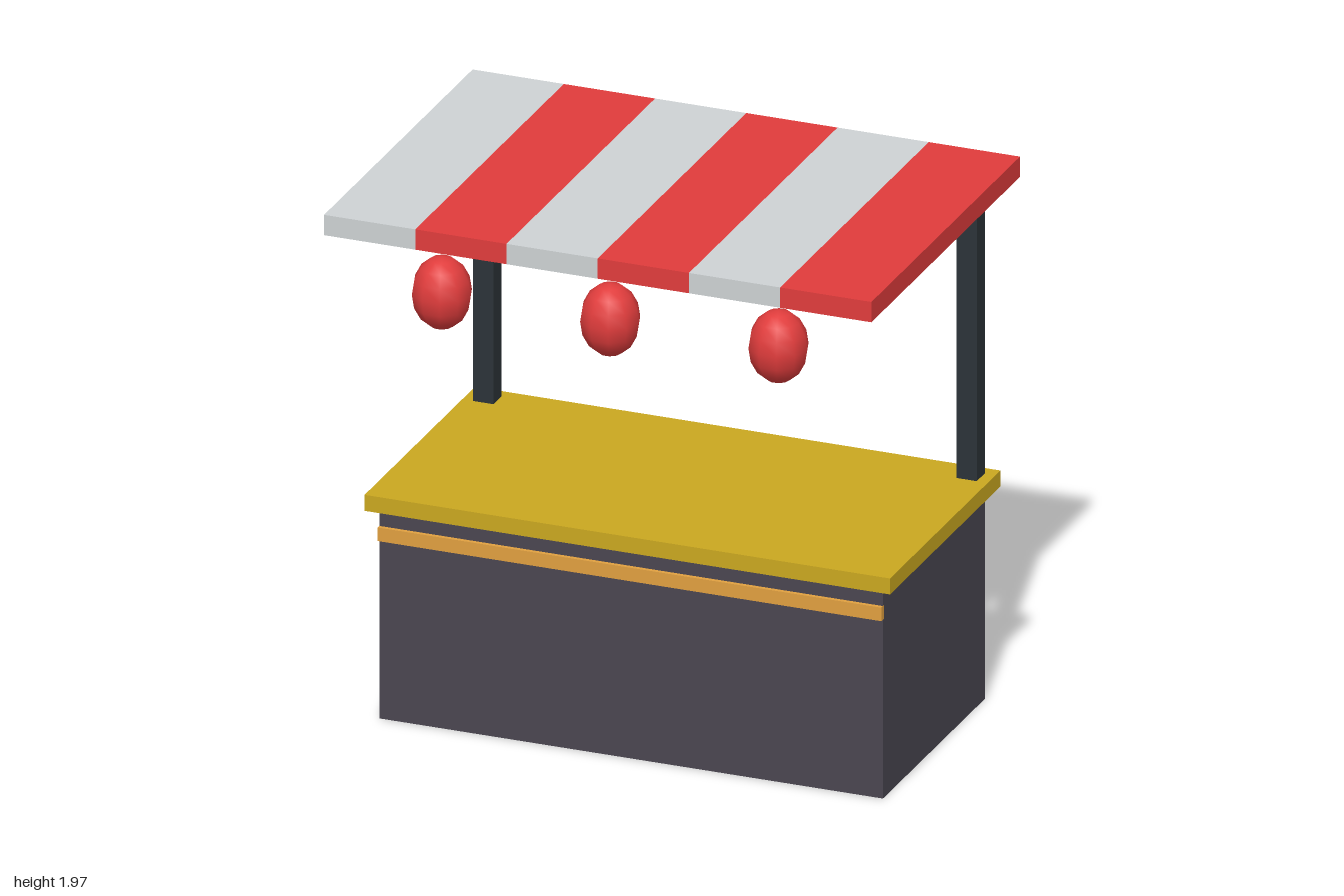
import * as THREE from 'three';

const mat = (color) => new THREE.MeshStandardMaterial({ color });

// Box given by its min/max extents
function box(name, material, [x0, x1], [y0, y1], [z0, z1]) {
  const mesh = new THREE.Mesh(new THREE.BoxGeometry(x1 - x0, y1 - y0, z1 - z0), material);
  mesh.position.set((x0 + x1) / 2, (y0 + y1) / 2, (z0 + z1) / 2);
  mesh.name = name;
  return mesh;
}

export function createModel() {
  const stall = new THREE.Group();
  stall.name = 'marketStall';

  const red = mat(0xe03c3c);
  const white = mat(0xced2d4);
  const dark = mat(0x4a4650);
  const slate = mat(0x2c3338);
  const gold = mat(0xcaa820);
  const amber = mat(0xe0a040);

  // Counter: body, overhanging top and front trim
  stall.add(box('counterBody', dark, [-0.92, 0.92], [0, 0.775], [-0.555, 0.37]));
  stall.add(box('counterTop', gold, [-0.96, 0.96], [0.773, 0.832], [-0.595, 0.405]));
  stall.add(box('frontTrim', amber, [-0.92, 0.92], [0.66, 0.71], [0.36, 0.385]));

  // Two rear posts
  for (const [side, x] of [['left', 0.883], ['right', -0.883]]) {
    stall.add(box(`${side}Post`, slate, [x - 0.037, x + 0.037], [0.83, 1.892], [-0.555, -0.48]));
  }

  // Striped canopy
  const canopy = new THREE.Group();
  canopy.name = 'canopy';
  const stripes = 6;
  const width = 2 / stripes;
  for (let i = 0; i < stripes; i++) {
    const x = -1 + i * width;
    canopy.add(box(`stripe${i + 1}`, i % 2 ? red : white, [x, x + width], [1.89, 1.965], [-0.673, 0.673]));
  }
  stall.add(canopy);

  // Lanterns in a row under the front edge
  const lanternGeometry = new THREE.SphereGeometry(0.105, 10, 8).scale(1, 1.25, 1);
  [-0.615, 0, 0.615].forEach((x, i) => {
    const lantern = new THREE.Mesh(lanternGeometry, red);
    lantern.name = `lantern${i + 1}`;
    lantern.position.set(x, 1.697, 0.56);
    stall.add(lantern);
  });

  return stall;
}
